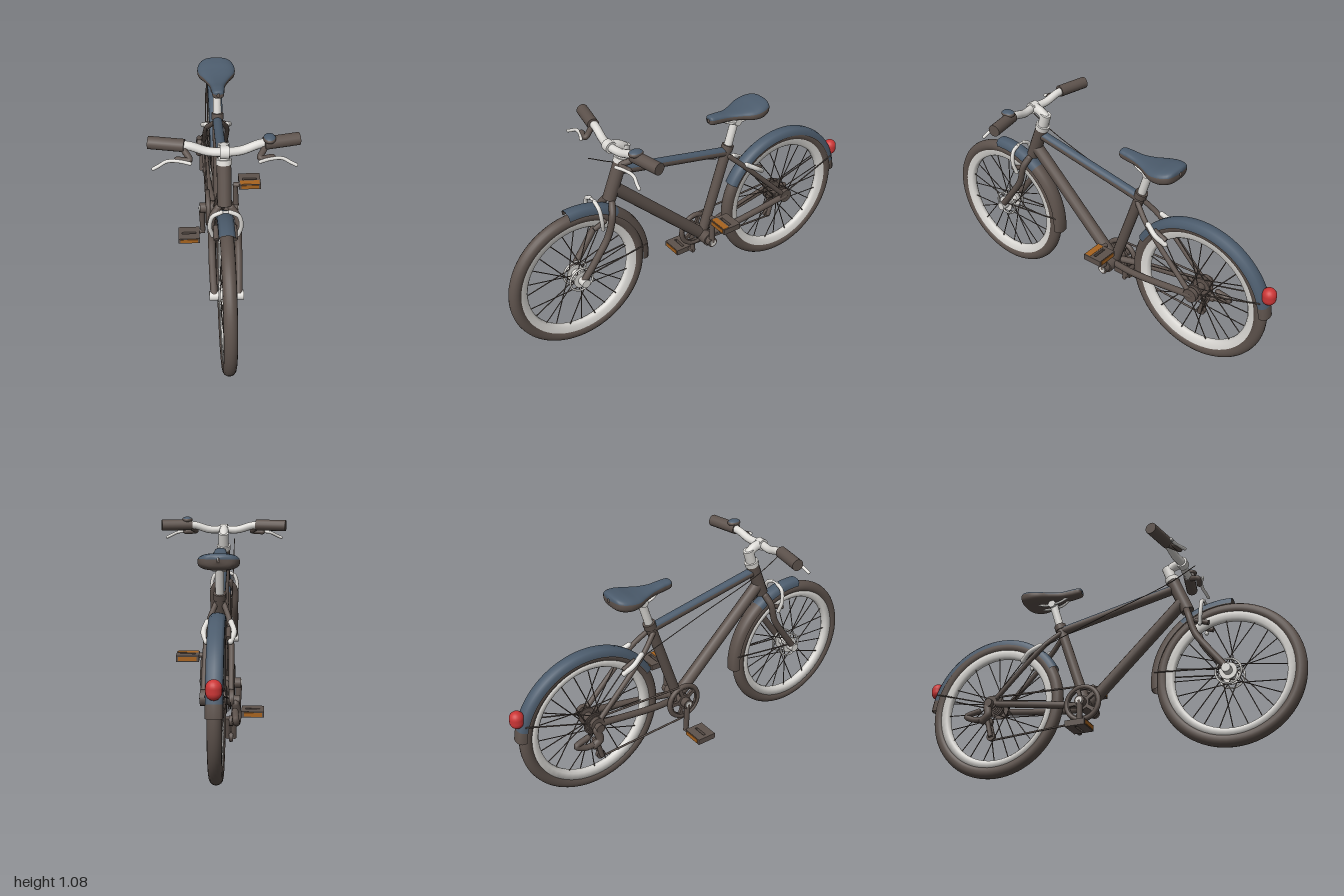
import * as THREE from 'three';
import { mergeGeometries } from 'three/addons/utils/BufferGeometryUtils.js';
import { ParametricGeometry } from 'three/addons/geometries/ParametricGeometry.js';

const mat = (name, color) => {
  const m = new THREE.MeshStandardMaterial({ color, side: THREE.DoubleSide });
  m.name = name;
  return m;
};
const V = (x, y, z) => new THREE.Vector3(x, y, z);
const rad = THREE.MathUtils.degToRad;

export function createModel() {
  const brown = mat('dark brown', 0x5d524c);
  const blue = mat('slate blue', 0x4c5c6d);
  const silver = mat('pale silver', 0xdcdad6);
  const red = mat('red', 0xcc3636);
  const orange = mat('amber', 0xa8641f);

  const bike = new THREE.Group();
  bike.name = 'bicycle';
  const add = (name, geo, m, parent = bike) => {
    const mesh = new THREE.Mesh(geo, m);
    mesh.name = name;
    parent.add(mesh);
    return mesh;
  };
  // Straight capped rod between two points
  const rodGeo = (a, b, r, r2 = r, seg = 14) => {
    const d = b.clone().sub(a);
    const g = new THREE.CylinderGeometry(r2, r, d.length(), seg);
    g.applyQuaternion(new THREE.Quaternion().setFromUnitVectors(V(0, 1, 0), d.normalize()));
    return g.translate((a.x + b.x) / 2, (a.y + b.y) / 2, (a.z + b.z) / 2);
  };
  const rod = (name, a, b, r, m, r2) => add(name, rodGeo(a, b, r, r2), m);
  // Curved rod with rounded ends
  const bend = (name, pts, r, m) => {
    const tube = new THREE.TubeGeometry(new THREE.CatmullRomCurve3(pts), 28, r, 12);
    const caps = [pts[0], pts[pts.length - 1]].map(p => new THREE.SphereGeometry(r, 12, 8).translate(p.x, p.y, p.z));
    return add(name, mergeGeometries([tube, ...caps]), m);
  };
  // Ring or arc around the x axis; the angle runs from +z up to +y
  const turned = (pts, from = 0, to = 360) => new THREE.LatheGeometry(
    pts.map(p => new THREE.Vector2(p[0], p[1])), 56, rad(from), rad(to - from)).rotateZ(Math.PI / 2);

  // Wheels
  const wheel = (name, y, z, scale, front) => {
    const g = new THREE.Group();
    g.name = name;
    g.position.set(0, y, z);
    g.scale.set(1, scale, scale);
    bike.add(g);
    add('tyre', new THREE.TorusGeometry(0.331, 0.031, 16, 72).rotateY(Math.PI / 2), brown, g);
    add('rim', turned([[0.314, -0.024], [0.314, 0.024], [0.282, 0.02], [0.272, 0.008],
      [0.272, -0.008], [0.282, -0.02], [0.314, -0.024]]), silver, g);
    const spokes = [];
    for (let i = 0; i < 24; i++) {
      const a = i * Math.PI / 12, h = a + (i % 4 < 2 ? 0.9 : -0.9), s = i % 2 ? 1 : -1;
      spokes.push(rodGeo(V(s * 0.032, 0.04 * Math.sin(h), 0.04 * Math.cos(h)),
        V(s * 0.006, 0.278 * Math.sin(a), 0.278 * Math.cos(a)), 0.0026, 0.0026, 6));
    }
    add('spokes', mergeGeometries(spokes), brown, g);
    const m = front ? silver : brown;
    add('hub', rodGeo(V(-0.06, 0, 0), V(0.06, 0, 0), 0.022), m, g);
    for (const s of [-1, 1]) {
      add('hubFlange', rodGeo(V(s * 0.029, 0, 0), V(s * 0.037, 0, 0), 0.043, 0.043, 24), m, g);
      if (front) add('hubRing', new THREE.TorusGeometry(0.062, 0.005, 8, 36).rotateY(Math.PI / 2).translate(s * 0.032, 0, 0), silver, g);
    }
  };
  const AXLE = 0.367, REAR = 0.378;
  wheel('frontWheel', AXLE, 0.638, 1, true);
  wheel('rearWheel', REAR, -0.595, 1.03, false);

  // Mudguards: outer skin and brown lining
  const skin = d => [[0.352, -0.037], [0.372, -0.036], [0.384, -0.024], [0.388, 0],
    [0.384, 0.024], [0.372, 0.036], [0.352, 0.037]].map(p => [p[0] - d, p[1] * (1 - d * 8)]);
  const guard = (name, y, z, d, from, to, m) => add(name, turned(skin(d), from, to).translate(0, y, z), m);
  guard('frontMudguard', AXLE, 0.638, 0, 84, 126, blue);
  guard('frontMudguardTail', AXLE, 0.638, 0, 126, 185, brown);
  guard('frontMudguardLining', AXLE, 0.638, 0.004, 84, 185, brown);
  guard('rearMudguard', 0.374, -0.598, 0, 28, 165, blue);
  guard('rearMudguardTail', 0.374, -0.598, 0, 165, 174, brown);
  guard('rearMudguardLining', 0.374, -0.598, 0.004, 28, 174, brown);
  for (const s of [-1, 1]) {
    rod('frontMudguardStay', V(s * 0.045, 0.38, 0.63), V(s * 0.037, 0.42, 0.275), 0.0035, brown);
    rod('rearMudguardStay', V(s * 0.05, 0.39, -0.61), V(s * 0.037, 0.5, -0.945), 0.0035, brown);
  }
  add('rearReflector', new THREE.CapsuleGeometry(0.034, 0.018, 8, 20).translate(0, 0.533, -0.966), red);

  // Frame
  const bb = V(0, 0.31, -0.09), seatTop = V(0, 0.785, -0.247);
  rod('headTube', V(0, 0.735, 0.447), V(0, 0.92, 0.375), 0.033, brown);
  rod('downTube', V(0, 0.79, 0.42), bb, 0.031, brown);
  rod('seatTube', bb, seatTop, 0.026, brown);
  rod('seatCollar', V(0, 0.76, -0.239), V(0, 0.79, -0.249), 0.031, brown);
  const ta = V(0, 0.755, -0.235), tb = V(0, 0.875, 0.393), len = ta.distanceTo(tb);
  const topTube = new THREE.Group();
  topTube.name = 'topTube';
  topTube.position.copy(ta).lerp(tb, 0.5);
  topTube.rotation.x = Math.PI / 2 - Math.atan2(tb.y - ta.y, tb.z - ta.z);
  bike.add(topTube);
  const upper = rad(136);
  for (const [n, m, mid, arc] of [['topTubeUpper', blue, Math.PI, upper], ['topTubeLower', brown, 0, 2 * Math.PI - upper]])
    add(n, new THREE.CylinderGeometry(0.024, 0.024, len, 16, 1, true, mid - arc / 2, arc), m, topTube);
  rod('bottomBracket', V(-0.065, bb.y, bb.z), V(0.07, bb.y, bb.z), 0.034, brown);
  for (const s of [-1, 1]) {
    bend('seatStay', [V(s * 0.02, 0.735, -0.24), V(s * 0.05, 0.66, -0.32), V(s * 0.062, 0.385, -0.597)], 0.013, brown);
    bend('chainStay', [V(s * 0.025, 0.315, -0.12), V(s * 0.045, 0.33, -0.25), V(s * 0.062, 0.383, -0.597)], 0.017, brown);
    rod('rearDropout', V(s * 0.052, 0.387, -0.597), V(s * 0.075, 0.387, -0.597), 0.036, brown);
    // Fork
    bend('forkBlade', [V(s * 0.03, 0.725, 0.45), V(s * 0.058, 0.68, 0.467), V(s * 0.06, 0.58, 0.495),
      V(s * 0.06, 0.48, 0.56), V(s * 0.056, 0.375, 0.637)], 0.017, brown);
    rod('frontAxleNut', V(s * 0.05, AXLE, 0.638), V(s * 0.078, AXLE, 0.638), 0.022, silver);
    // Rim brakes
    bend('frontBrakeArm', [V(s * 0.058, 0.625, 0.52), V(s * 0.07, 0.68, 0.53), V(s * 0.058, 0.742, 0.535), V(s * 0.02, 0.765, 0.535)], 0.01, silver);
    rod('frontBrakePad', V(s * 0.042, 0.655, 0.495), V(s * 0.042, 0.63, 0.56), 0.012, brown);
    bend('rearBrakeArm', [V(s * 0.055, 0.6, -0.43), V(s * 0.07, 0.635, -0.385), V(s * 0.055, 0.67, -0.33)], 0.013, silver);
    rod('rearBrakePad', V(s * 0.045, 0.645, -0.36), V(s * 0.045, 0.615, -0.43), 0.012, brown);
  }
  rod('frontBrakeBridge', V(-0.03, 0.766, 0.535), V(0.03, 0.766, 0.535), 0.006, silver);

  // Stem, handlebar and controls
  rod('headset', V(0, 0.912, 0.378), V(0, 0.935, 0.37), 0.036, silver);
  rod('stemPost', V(0, 0.925, 0.373), V(0, 1.0, 0.348), 0.027, silver);
  bend('stemArm', [V(0, 0.985, 0.355), V(0, 1.005, 0.385), V(0, 1.015, 0.43)], 0.024, silver);
  rod('barClamp', V(-0.02, 1.012, 0.43), V(0.02, 1.012, 0.43), 0.029, silver);
  bend('handlebar', [-1, -0.65, -0.5, -0.25, 0, 0.25, 0.5, 0.65, 1].map(t => {
    const a = Math.abs(t);
    return V(t * 0.3, a > 0.6 ? 1.038 : a > 0.4 ? 1.035 : 1.012, 0.43 - 0.042 * a);
  }), 0.02, silver);
  for (const s of [-1, 1]) {
    rod('grip', V(s * 0.172, 1.038, 0.41), V(s * 0.328, 1.038, 0.378), 0.029, brown);
    bend('leverBody', [V(s * 0.172, 1.02, 0.425), V(s * 0.152, 1.0, 0.465), V(s * 0.205, 0.996, 0.455)], 0.014, brown);
    bend('brakeLever', [V(s * 0.15, 0.998, 0.49), V(s * 0.2, 0.997, 0.468), V(s * 0.25, 0.992, 0.46), V(s * 0.285, 0.975, 0.468), V(s * 0.308, 0.964, 0.472)], 0.008, silver);
  }
  // Bell: brown base with a blue cap
  const bell = new THREE.Group();
  bell.name = 'bell';
  bell.position.set(0.195, 1.064, 0.412);
  bell.scale.set(0.9, 0.55, 1.15);
  bike.add(bell);
  add('bellBase', new THREE.SphereGeometry(0.031, 20, 10, 0, Math.PI * 2, 1.1, Math.PI - 1.1), brown, bell);
  add('bellCap', new THREE.SphereGeometry(0.031, 20, 8, 0, Math.PI * 2, 0, 1.1), blue, bell);
  bend('rearCable', [V(-0.055, 0.95, 0.51), V(-0.055, 0.88, 0.37), V(-0.055, 0.775, 0.04), V(-0.055, 0.64, -0.37)], 0.0022, brown);

  // Saddle: rows of z, half width, top, bottom
  const rows = [[-0.124, 0.006, 0.975, 0.955], [-0.13, 0.025, 0.985, 0.945], [-0.17, 0.031, 0.986, 0.938],
    [-0.23, 0.038, 0.98, 0.936], [-0.29, 0.062, 0.98, 0.932], [-0.345, 0.09, 0.987, 0.922],
    [-0.4, 0.094, 0.998, 0.92], [-0.445, 0.072, 1.0, 0.935], [-0.46, 0.006, 0.985, 0.965]];
  const widths = new THREE.CatmullRomCurve3(rows.map(r => V(r[1], 0, r[0])));
  const heights = new THREE.CatmullRomCurve3(rows.map(r => V(r[2], r[3], r[0])));
  const sq = t => Math.sign(t) * Math.pow(Math.abs(t), 0.75);
  const saddlePart = (start, end) => new ParametricGeometry((u, v, out) => {
    const w = widths.getPoint(u), h = heights.getPoint(u), a = start + v * (end - start);
    out.set(w.x * sq(Math.cos(a)), (h.x + h.y) / 2 + (h.x - h.y) / 2 * sq(Math.sin(a)), w.z);
  }, 32, 20);
  const seam = 0.22;
  add('saddleTop', saddlePart(seam, Math.PI - seam), blue);
  add('saddleUnderside', saddlePart(Math.PI - seam, 2 * Math.PI + seam), brown);
  rod('seatPost', V(0, 0.78, -0.246), V(0, 0.915, -0.287), 0.021, silver);
  rod('saddleClamp', V(-0.032, 0.917, -0.287), V(0.032, 0.917, -0.287), 0.02, silver);
  for (const s of [-1, 1])
    bend('saddleRail', [V(s * 0.012, 0.95, -0.19), V(s * 0.022, 0.92, -0.25), V(s * 0.024, 0.916, -0.33), V(s * 0.04, 0.945, -0.4)], 0.006, silver);

  // Chainring, cranks and pedals
  const ring = new THREE.Shape().absarc(0, 0, 0.094, 0, Math.PI * 2);
  for (let i = 0; i < 5; i++) {
    const a = i * Math.PI * 0.4, hole = new THREE.Path();
    hole.absarc(0, 0, 0.07, a + 0.14, a + 1.11, false);
    hole.absarc(0, 0, 0.036, a + 1.0, a + 0.25, true);
    ring.holes.push(hole);
  }
  add('chainring', new THREE.ExtrudeGeometry(ring, { depth: 0.014, bevelEnabled: false, curveSegments: 40 })
    .rotateY(Math.PI / 2).translate(-0.066, bb.y, bb.z), brown);
  add('chainGuard', new THREE.TorusGeometry(0.085, 0.013, 10, 40).rotateY(Math.PI / 2).translate(-0.058, bb.y, bb.z), brown);
  for (const [s, y, z] of [[-1, 0.15, -0.06], [1, 0.45, -0.12]]) {
    rod('crankBoss', V(s * 0.068, bb.y, bb.z), V(s * 0.1, bb.y, bb.z), 0.026, brown);
    rod('crankArm', V(s * 0.09, bb.y, bb.z), V(s * 0.085, y, -0.095), 0.016, brown, 0.013);
    rod('pedalAxle', V(s * 0.075, y, -0.095), V(s * 0.12, y, -0.09), 0.013, brown);
    rod('bracketCap', V(s * 0.098, bb.y, bb.z), V(s * 0.104, bb.y, bb.z), 0.017, silver);
    const pedal = new THREE.Group();
    pedal.name = 'pedal';
    pedal.position.set(s * 0.16, y, z);
    bike.add(pedal);
    for (const e of [-1, 1]) {
      add('pedalRail', new THREE.BoxGeometry(0.112, 0.03, 0.043).translate(0, 0, e * 0.0285), brown, pedal);
      add('pedalEnd', new THREE.BoxGeometry(0.02, 0.03, 0.02).translate(e * 0.046, 0, 0), brown, pedal);
      add('pedalReflector', new THREE.BoxGeometry(0.09, 0.02, 0.004).translate(0, 0, e * 0.051), orange, pedal);
    }
    if (s > 0) add('pedalTopReflector', new THREE.BoxGeometry(0.1, 0.004, 0.032).translate(0, 0.0145, 0.032), orange, pedal);
  }

  // Chain, sprockets and derailleur
  for (let i = 0; i < 5; i++)
    add('sprocket', rodGeo(V(-0.04 - i * 0.006, REAR, -0.595), V(-0.043 - i * 0.006, REAR, -0.595), 0.06 - i * 0.006, 0.06 - i * 0.006, 28), brown);
  rod('rearAxleNut', V(-0.07, REAR, -0.597), V(-0.1, REAR, -0.597), 0.022, brown);
  rod('chainUpper', V(-0.06, 0.4, -0.1), V(-0.06, 0.418, -0.595), 0.005, brown);
  rod('chainLower', V(-0.06, 0.212, -0.08), V(-0.06, 0.185, -0.59), 0.005, brown);
  bend('derailleurBody', [V(-0.08, 0.365, -0.61), V(-0.088, 0.315, -0.6), V(-0.085, 0.29, -0.63)], 0.02, brown);
  bend('derailleurArm', [V(-0.085, 0.295, -0.62), V(-0.088, 0.3, -0.68), V(-0.085, 0.325, -0.725), V(-0.08, 0.345, -0.66)], 0.015, brown);
  for (const x of [-0.075, -0.048])
    rod('derailleurCage', V(x, 0.3, -0.61), V(x, 0.2, -0.585), 0.012, brown);
  for (const [y, z] of [[0.285, -0.605], [0.205, -0.588]])
    rod('jockeyWheel', V(-0.07, y, z), V(-0.053, y, z), 0.023, brown);
  return bike;
}
